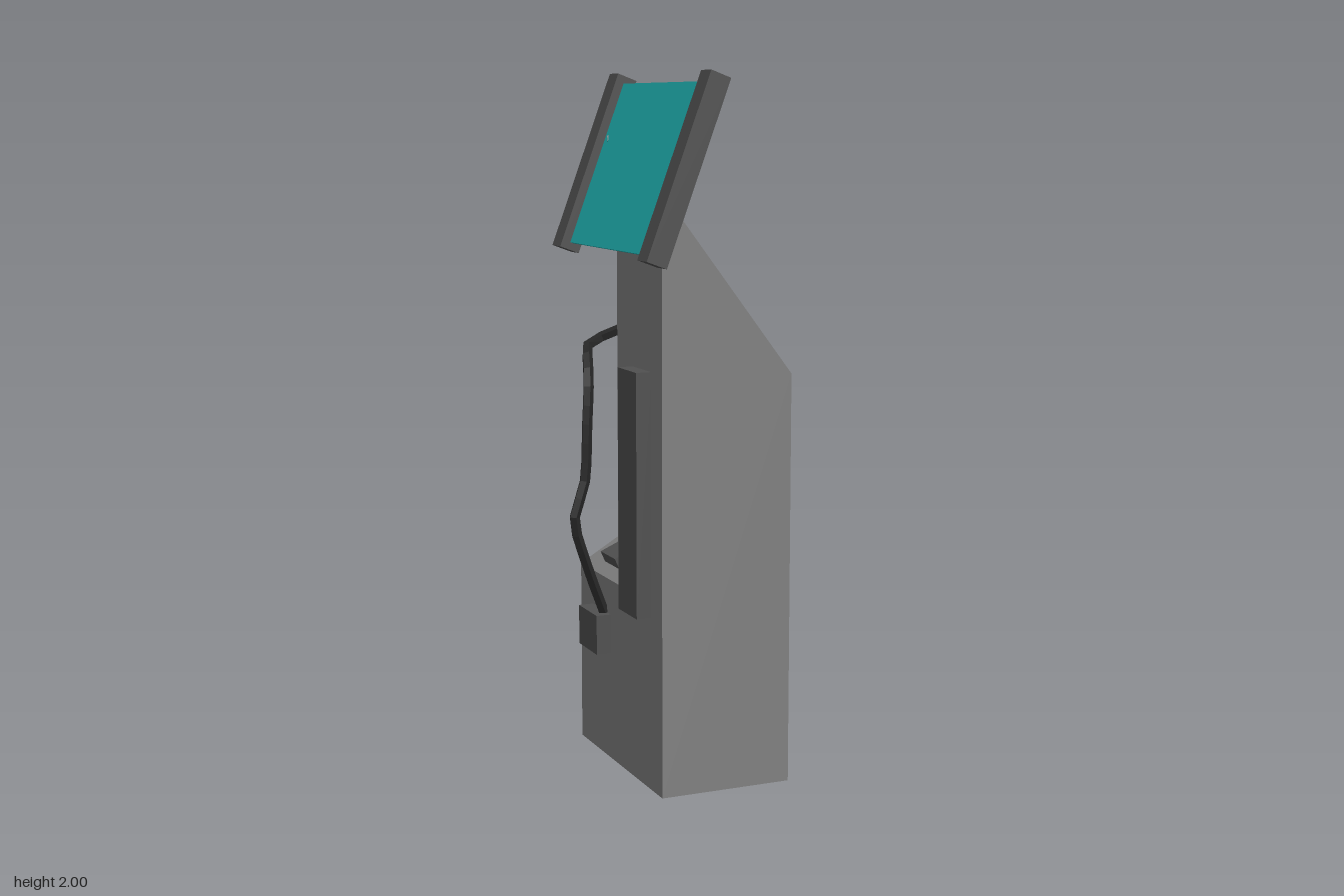
import * as THREE from 'three';

const material = (color) => new THREE.MeshStandardMaterial({ color, flatShading: true });
const casing = material(0x808080);
const trim = material(0x505050);
const rubber = material(0x262626);
const glass = material(0x1fb0b0);

function addMesh(parent, name, geometry, mat) {
  const mesh = new THREE.Mesh(geometry, mat);
  mesh.name = name;
  parent.add(mesh);
  return mesh;
}

// Box given by its minimum and maximum corners
function addBox(parent, name, min, max, mat) {
  const size = max.map((v, i) => v - min[i]);
  const mesh = addMesh(parent, name, new THREE.BoxGeometry(...size), mat);
  mesh.position.set(...max.map((v, i) => (v + min[i]) / 2));
  return mesh;
}

// Block with a sloping top, running from z0 to z1
function addSlopedBlock(parent, name, x0, x1, y0, y1, z0, z1) {
  const shape = new THREE.Shape([
    new THREE.Vector2(x0, 0), new THREE.Vector2(x1, 0),
    new THREE.Vector2(x1, y1), new THREE.Vector2(x0, y0),
  ]);
  const geometry = new THREE.ExtrudeGeometry(shape, { depth: z1 - z0, bevelEnabled: false });
  addMesh(parent, name, geometry.translate(0, 0, z0), casing);
}

export function createModel() {
  const model = new THREE.Group();
  model.name = 'terminal';

  // Tall pedestal and the lower block behind it, sloping opposite ways
  addSlopedBlock(model, 'pedestal', -0.13, 0.26, 1.685, 1.175, -0.1, 0.225);
  addSlopedBlock(model, 'lowerBlock', -0.13, 0.26, 0.54, 0.775, -0.405, -0.1);

  // Fittings on the side wall
  addBox(model, 'sidePanel', [-0.175, 0.5, 0.015], [-0.13, 1.19, 0.15], trim);
  addBox(model, 'cableSocket', [-0.175, 0.32, -0.305], [-0.13, 0.437, -0.16], trim);

  // Keypad resting at a shallower tilt on the lower slope
  const keypad = addMesh(model, 'keypad', new THREE.BoxGeometry(0.182, 0.06, 0.115), trim);
  keypad.position.set(-0.01, 0.604, -0.247);
  keypad.rotation.z = 0.414;

  // Tilted screen held between two end bars
  const screen = new THREE.Group();
  screen.name = 'screen';
  screen.position.set(-0.13, 1.745, 0.05);
  screen.rotation.z = -0.355;
  model.add(screen);
  addBox(screen, 'screenPane', [-0.005, -0.239, -0.29], [0.005, 0.239, 0.29], glass);
  for (const [name, z] of [['frontBar', 0.3225], ['backBar', -0.3225]]) {
    addBox(screen, name, [-0.03, -0.26, z - 0.0325], [0.03, 0.26, z + 0.0325], trim);
  }

  // Cable from the socket, round the back and up to the screen
  const path = new THREE.CatmullRomCurve3([
    [-0.135, 0.43, -0.2], [-0.2, 0.59, -0.175], [-0.24, 0.73, -0.165],
    [-0.205, 0.83, -0.175], [-0.19, 1.0, -0.19], [-0.175, 1.12, -0.215],
    [-0.16, 1.18, -0.26], [-0.135, 1.215, -0.32], [-0.06, 1.25, -0.31],
    [0.04, 1.3, -0.235], [0.11, 1.355, -0.195], [0.105, 1.43, -0.245],
    [0.085, 1.54, -0.275], [0.085, 1.64, -0.28], [0.11, 1.695, -0.255],
    [0.15, 1.745, -0.215], [0.135, 1.785, -0.18], [0.07, 1.805, -0.18],
    [-0.02, 1.81, -0.21], [-0.11, 1.81, -0.226],
  ].map((p) => new THREE.Vector3(...p)), false, 'centripetal');
  addMesh(model, 'cable', new THREE.TubeGeometry(path, 36, 0.016, 5), rubber);

  return model;
}
